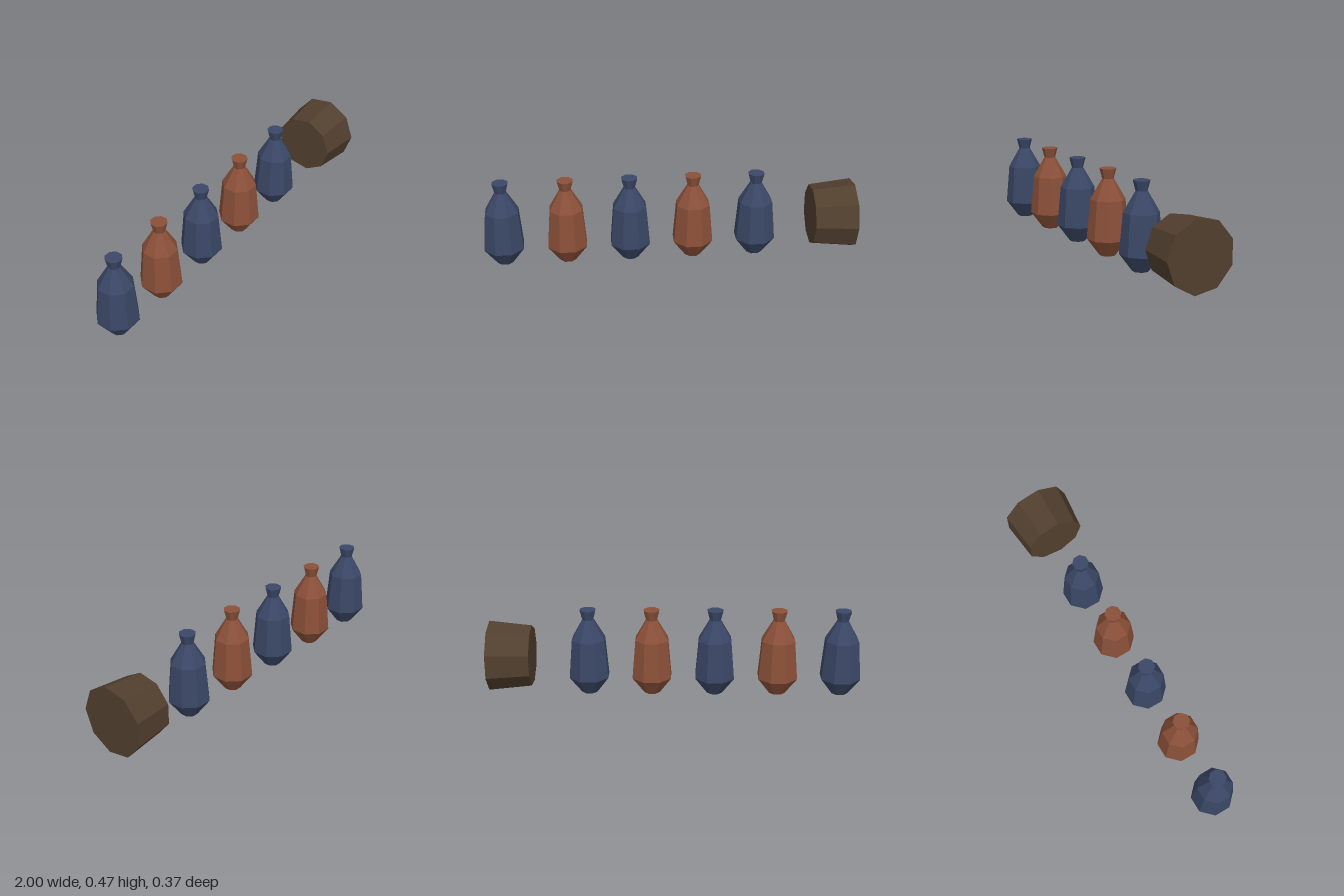
import * as THREE from 'three';

const material = (name, color) => {
  const m = new THREE.MeshStandardMaterial({ color, flatShading: true });
  m.name = name;
  return m;
};

export function createModel() {
  const group = new THREE.Group();
  const blue = material('slate blue glaze', 0x3a4766);
  const terracotta = material('terracotta', 0x8b5039);
  const brown = material('dark wood', 0x513f2e);

  // Eight-sided closed vase: foot, belly, shoulder, neck, flared lip
  const profile = [[0, 0], [0.045, 0], [0.113, 0.092], [0.094, 0.307],
    [0.031, 0.417], [0.045, 0.471], [0, 0.471]].map(([r, y]) => new THREE.Vector2(r, y));
  const vaseGeometry = new THREE.LatheGeometry(profile, 8);
  vaseGeometry.rotateY(Math.PI / 8); // flat sides face the axes

  // Row of five vases in alternating colours
  for (let i = 0; i < 5; i++) {
    const vase = new THREE.Mesh(vaseGeometry, i % 2 ? terracotta : blue);
    vase.name = `vase${i + 1}`;
    vase.position.set(-0.895 + i * 0.34, 0, -0.005);
    group.add(vase);
  }

  // Nine-sided tapered block lying on its side, wide end outward
  const blockGeometry = new THREE.CylinderGeometry(0.189, 0.165, 0.228, 9);
  blockGeometry.rotateZ(-Math.PI / 2);
  const block = new THREE.Mesh(blockGeometry, brown);
  block.name = 'taperedBlock';
  block.position.set(0.886, 0.206, -0.005);
  group.add(block);

  return group;
}
